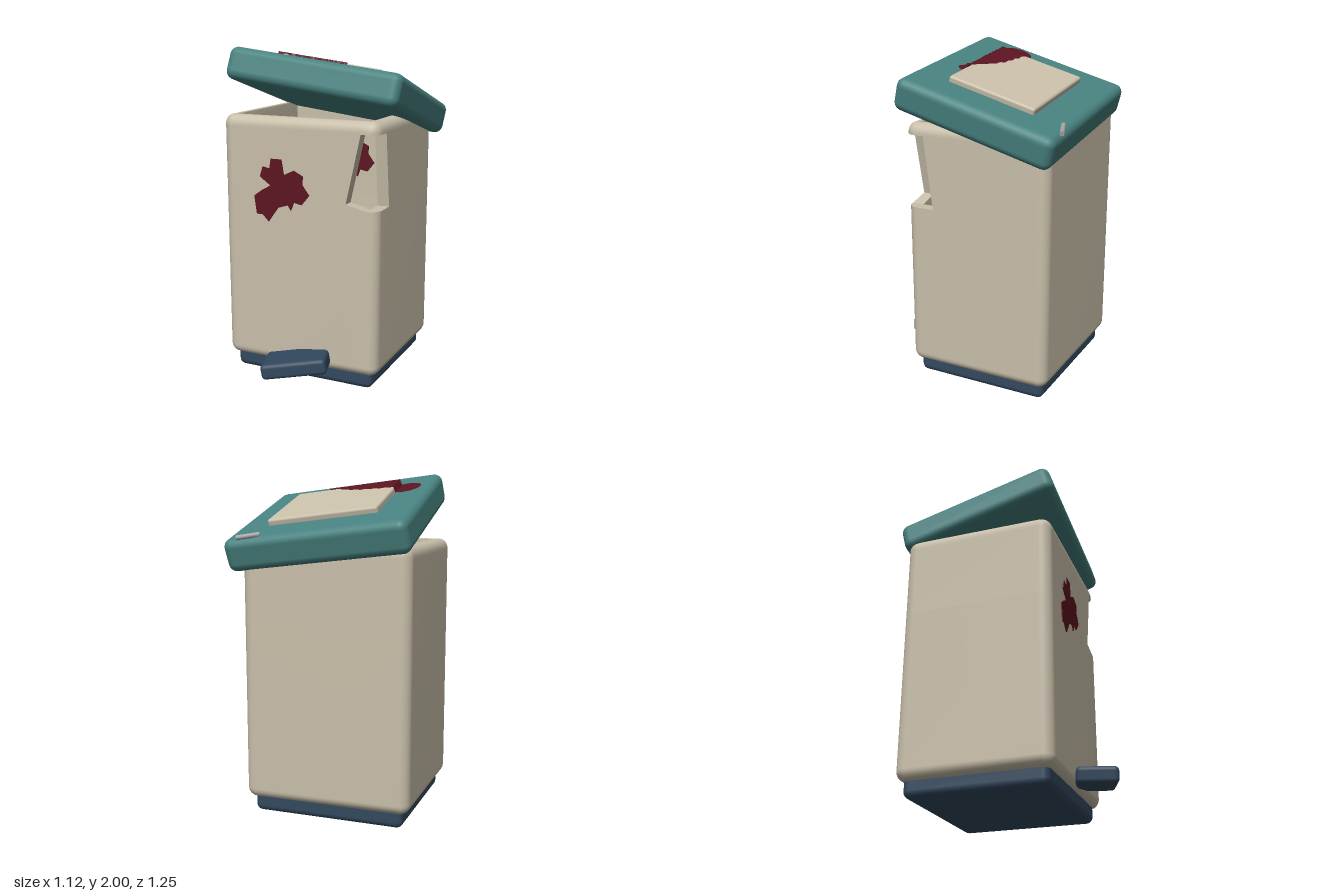
import * as THREE from 'three';
import { RoundedBoxGeometry } from 'three/addons/geometries/RoundedBoxGeometry.js';

const mat = (color, side = THREE.FrontSide) => new THREE.MeshStandardMaterial({ color, side });
const beige = mat(0xc9bfaa), beigeCut = mat(0xc9bfaa, THREE.DoubleSide);
const teal = mat(0x478280), navy = mat(0x33495f), red = mat(0x5c1420, THREE.DoubleSide);
const grey = mat(0xa5a5a5);
const rad = THREE.MathUtils.degToRad;

function add(parent, name, geometry, material, x = 0, y = 0, z = 0) {
  const m = new THREE.Mesh(geometry, material);
  m.name = name;
  m.position.set(x, y, z);
  parent.add(m);
  return m;
}
const box = (w, h, d, r) => new RoundedBoxGeometry(w, h, d, 3, r);

function buffer(pos, idx) {
  const g = new THREE.BufferGeometry();
  g.setAttribute('position', new THREE.Float32BufferAttribute(pos, 3));
  if (idx) g.setIndex(idx);
  g.computeVertexNormals();
  return g;
}

// Body: rounded rectangular rings swept up the outside, over the rim and down
// the inside, with a broken gap in the front left corner.
const HX = 0.503, HZ = 0.455, CX = -0.058, CZ = -0.085, WALL = 0.07;
const GAP_LOW = 1.1, GAP_HIGH = 1.535;

function ring(inset, y) {
  const r = Math.max(0.065 - inset, 0.004), hx = HX - inset, hz = HZ - inset;
  const t = THREE.MathUtils.clamp((y - GAP_LOW) / (GAP_HIGH - GAP_LOW), 0, 1);
  const corner = (sx, sz, start) => {
    const out = [];
    for (let k = 0; k <= 5; k++) {
      const a = start + (k / 5) * Math.PI / 2;
      out.push([CX + sx * (hx - r) + r * Math.sin(a), y, CZ + sz * (hz - r) + r * Math.cos(a)]);
    }
    return out;
  };
  const limX = Math.min(0.25 + 0.09 * t, CX + hx - r), limZ = Math.min(0.19 + 0.055 * t, CZ + hz - r);
  return [
    [limX, y === GAP_LOW ? y + 0.03 : y, CZ + hz],
    ...corner(1, 1, 0),
    [CX + hx, y, limZ],
    ...corner(1, -1, Math.PI / 2),
    ...corner(-1, -1, Math.PI),
    ...corner(-1, 1, Math.PI * 1.5),
  ];
}

function buildBody(parent) {
  const profile = [[0.45, 0.09]];
  const arc = (ci, cy, r, from, to) => {
    for (let k = 0; k <= 5; k++) {
      const a = rad(from + (to - from) * k / 5);
      profile.push([ci - r * Math.cos(a), cy + r * Math.sin(a)]);
    }
  };
  arc(0.06, 0.15, 0.06, -90, 0);
  const low = profile.length;
  profile.push([0, GAP_LOW], [0, GAP_HIGH]);
  arc(0.055, 1.55, 0.055, 0, 90);
  profile.push([WALL - 0.005, 1.605], [WALL, 1.6]);
  const inHigh = profile.length;
  profile.push([WALL, GAP_HIGH], [WALL, GAP_LOW], [WALL, 0.17], [0.45, 0.17]);

  const rings = profile.map(([i, y]) => ring(i, y)), n = rings[0].length, idx = [];
  for (let i = 0; i < rings.length - 1; i++) {
    for (let j = 0; j < n; j++) {
      if ((i === low || i === inHigh) && j < 7) continue;
      const a = i * n + j, b = i * n + (j + 1) % n;
      idx.push(a, b, b + n, a, b + n, a + n);
    }
  }
  add(parent, 'binBody', buffer(rings.flat(2), idx), beige);

  // Cut faces around the gap, through the wall thickness
  const [oL, oH, iH, iL] = [low, low + 1, inHigh, inHigh + 1].map(k => rings[k]);
  const cut = [];
  const quad = (a, b, c, d) => cut.push(...a, ...b, ...c, ...a, ...c, ...d);
  for (let j = 0; j < 7; j++) {
    quad(oL[j], oL[j + 1], iL[j + 1], iL[j]);
    quad(iH[j], iH[j + 1], oH[j + 1], oH[j]);
  }
  quad(oL[0], iL[0], iH[0], oH[0]);
  quad(iL[7], oL[7], oH[7], iH[7]);
  add(parent, 'gapEdge', buffer(cut), beigeCut);
}

// Flat splash outline for the front and the inside back wall
function splashGeometry() {
  const pts = [
    [-0.23, 1.36], [-0.16, 1.36], [-0.145, 1.27], [-0.08, 1.3], [-0.02, 1.27], [-0.025, 1.22],
    [0.02, 1.16], [-0.03, 1.1], [-0.08, 1.11], [-0.1, 1.06], [-0.12, 1.09], [-0.185, 1.07],
    [-0.25, 0.98], [-0.29, 1.02], [-0.33, 1.02], [-0.345, 1.13], [-0.29, 1.17], [-0.235, 1.2],
    [-0.305, 1.25], [-0.285, 1.31], [-0.24, 1.3],
  ].map(p => new THREE.Vector2(...p));
  return new THREE.ExtrudeGeometry(new THREE.Shape(pts), { depth: 0.006, bevelEnabled: false });
}

// Smear draped over the lid and its raised panel
function smearGeometry(top, panelTop, halfX, halfZ) {
  const stations = [[-0.38, 0.195, 0.095], [-0.27, 0.195, 0.08], [-0.12, 0.222, 0.076],
    [-0.02, 0.25, 0.062], [0.095, 0.3, 0.037]];
  const U = 90, V = 24, pos = [], idx = [], x0 = -0.475, x1 = 0.132;
  for (let i = 0; i <= U; i++) {
    const x = x0 + (x1 - x0) * i / U;
    const xc = THREE.MathUtils.clamp(x, -0.38, 0.0949);
    const k = stations.findIndex((s, q) => q < 4 && xc < stations[q + 1][0]);
    const [a, b] = [stations[k], stations[k + 1]], t = (xc - a[0]) / (b[0] - a[0]);
    const mid = a[1] + (b[1] - a[1]) * t, r = a[2] + (b[2] - a[2]) * t;
    const ragged = x === xc ? 0.005 * Math.sin(x * 95) : 0;
    const half = Math.sqrt(Math.max(r * r - (x - xc) ** 2, 0)) + ragged;
    for (let j = 0; j <= V; j++) {
      const z = mid + half * (2 * j / V - 1);
      const onPanel = Math.abs(x) < halfX && Math.abs(z) < halfZ;
      pos.push(x, onPanel ? panelTop : top, z);
      if (i < U && j < V) {
        const p = i * (V + 1) + j, q = p + V + 1;
        idx.push(p, p + 1, q + 1, p, q + 1, q);
      }
    }
  }
  return buffer(pos, idx);
}

export function createModel() {
  const bin = new THREE.Group();
  bin.name = 'pedalBin';

  buildBody(bin);
  add(bin, 'base', box(0.915, 0.14, 0.835, 0.04), navy, CX, 0.07, CZ);

  // Crooked foot pedal
  const pedal = add(bin, 'pedal', box(0.395, 0.095, 0.235, 0.025), navy, -0.028, 0.15, 0.462);
  pedal.rotation.set(0, rad(16.5), rad(9.5), 'YZX');

  // Splashes
  const splash = splashGeometry();
  add(bin, 'frontSplash', splash, red, 0, 0, CZ + HZ);
  add(bin, 'innerSplash', splash, red, 0.06, 0.06, CZ - HZ + WALL);

  // Tilted lid with raised panel and smear
  const lid = new THREE.Group();
  lid.name = 'lid';
  lid.position.set(0, 1.72, -0.11);
  lid.rotation.set(rad(-16), 0, rad(-7), 'ZXY');
  bin.add(lid);
  add(lid, 'lidSlab', box(1.09, 0.195, 0.99, 0.05), teal);
  add(lid, 'lidPanel', box(0.67, 0.07, 0.545, 0.015), beige, 0, 0.0975, 0);
  add(lid, 'lidSmear', smearGeometry(0.102, 0.137, 0.34, 0.2775), red);

  // Loose hinge pin
  const pin = add(bin, 'hingePin', new THREE.CylinderGeometry(0.014, 0.014, 0.135, 12), grey, 0.37, 1.648, -0.587);
  pin.quaternion.setFromUnitVectors(new THREE.Vector3(0, 1, 0), new THREE.Vector3(0.125, -0.02, -0.045).normalize());
  return bin;
}
